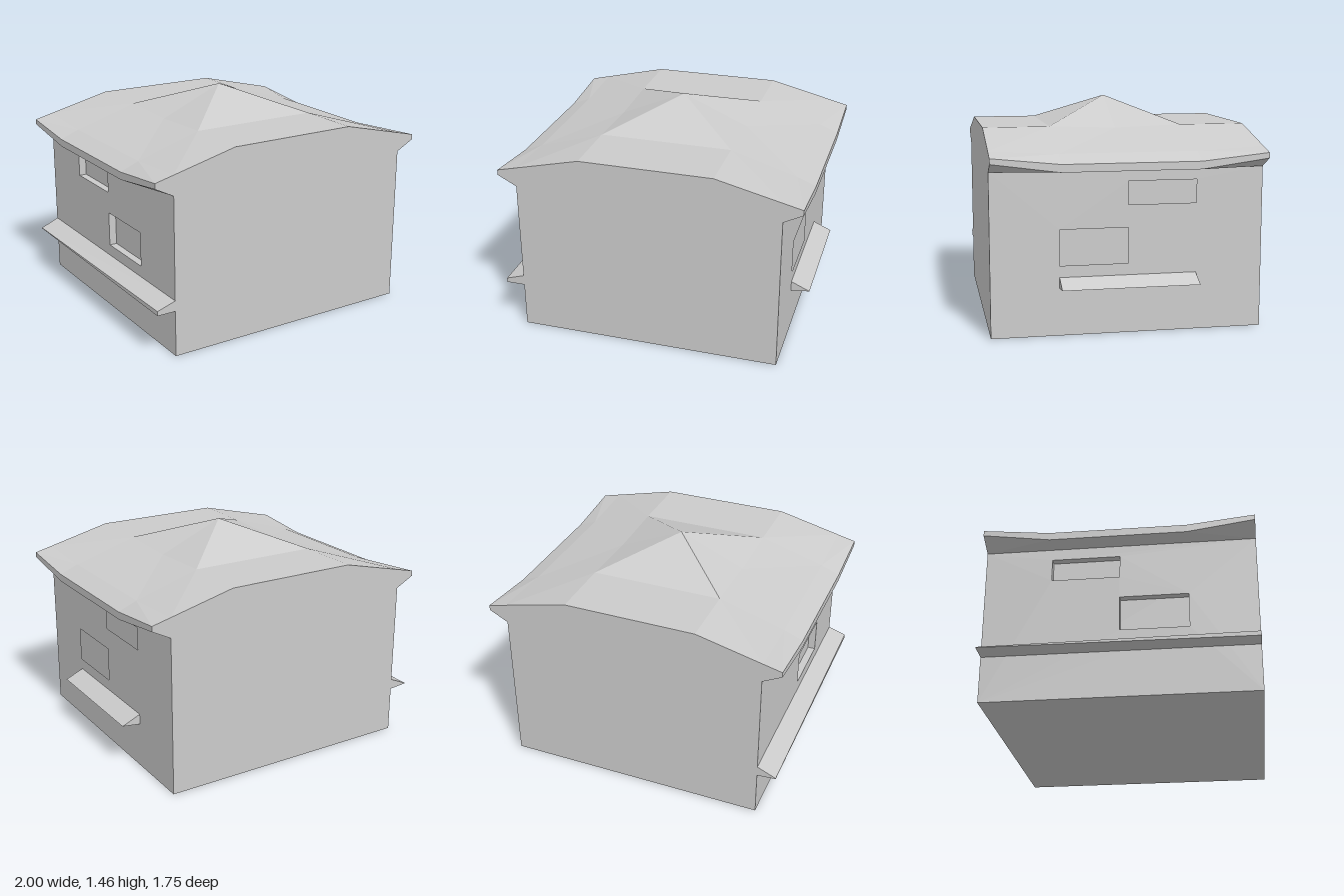
import * as THREE from 'three';

const material = new THREE.MeshStandardMaterial({ color: 0xcccccc, flatShading: true });
const W = 0.875; // half width of the walls
const M = 0.44; // half width of the raised centre
const WALL = 0.05; // depth of the window recesses
const EAVE = 1.05; // height of the wall tops

function addMesh(parent, name, geometry) {
  const mesh = new THREE.Mesh(geometry, material);
  mesh.name = name;
  parent.add(mesh);
  return mesh;
}

// Closed loft through sections { z, pts }, ordered by rising z, points
// counter-clockwise seen from +z. Quads are split along lines from the centre.
function loft(sections) {
  const pos = [];
  const tri = (...corners) => corners.forEach((p) => pos.push(...p));
  const at = (s, j) => {
    const p = s.pts[j % s.pts.length];
    return [p[0], p[1], s.z];
  };
  for (let i = 0; i < sections.length - 1; i++) {
    const s = sections[i], t = sections[i + 1];
    for (let j = 0; j < s.pts.length; j++) {
      const a = at(s, j), b = at(s, j + 1), c = at(t, j + 1), d = at(t, j);
      if ((a[0] + b[0]) * (s.z + t.z) < 0) {
        tri(a, b, c);
        tri(a, c, d);
      } else {
        tri(a, b, d);
        tri(b, c, d);
      }
    }
  }
  const cap = (s, flip) => {
    const outline = s.pts.map((p) => new THREE.Vector2(p[0], p[1]));
    for (const [a, b, c] of THREE.ShapeUtils.triangulateShape(outline, [])) {
      if (flip) tri(at(s, c), at(s, b), at(s, a));
      else tri(at(s, a), at(s, b), at(s, c));
    }
  };
  cap(sections[0], true);
  cap(sections[sections.length - 1], false);
  const geometry = new THREE.BufferGeometry();
  geometry.setAttribute('position', new THREE.Float32BufferAttribute(pos, 3));
  geometry.computeVertexNormals();
  return geometry;
}

// Side wall with two window openings, side = +1 or -1 along x
function sideWall(side) {
  const rect = (Kind, z0, z1, y0, y1) => new Kind(
    [[z0, y0], [z1, y0], [z1, y1], [z0, y1]].map(([z, y]) => new THREE.Vector2(-side * z, y)));
  const shape = rect(THREE.Shape, -W, W, 0, EAVE);
  shape.holes.push(
    rect(THREE.Path, 0, M, 0.45, 0.68),
    rect(THREE.Path, -M, 0, 0.825, 0.975));
  return new THREE.ExtrudeGeometry(shape, { depth: WALL, bevelEnabled: false })
    .rotateY(side * Math.PI / 2)
    .translate(side * (W - WALL), 0, 0);
}

// Roof section: ridge, shoulder, wall-line and eave heights, then eave underside
function roofSection(z, ridge, shoulder, wall, top, under) {
  const right = [[1, top], [W, wall], [M, shoulder]];
  const left = right.map(([x, y]) => [-x, y]).reverse();
  return {
    z,
    pts: [...right, [0, ridge], ...left, [-1, under], [-W, EAVE], [W, EAVE], [1, under]],
  };
}

export function createModel() {
  const model = new THREE.Group();
  model.name = 'house';

  // Walls: a solid core with a pierced layer on each side
  const walls = new THREE.Group();
  walls.name = 'walls';
  model.add(walls);
  addMesh(walls, 'wallCore',
    new THREE.BoxGeometry(2 * (W - WALL), EAVE, 2 * W).translate(0, EAVE / 2, 0));
  addMesh(walls, 'leftWall', sideWall(1));
  addMesh(walls, 'rightWall', sideWall(-1));

  // Roof with upturned eave corners and a shallow central pyramid
  const end = (z) => roofSection(z, 1.285, 1.285, 1.18, 1.15, 1.115);
  const inner = (z) => roofSection(z, 1.285, 1.285, 1.155, 1.105, 1.055);
  const middle = roofSection(0, 1.46, 1.27, 1.155, 1.105, 1.055);
  addMesh(model, 'roof', loft([end(-W), inner(-M), middle, inner(M), end(W)]));

  // Short awning on the left wall
  const shortProfile = [[W, 0.305], [1, 0.32], [W, 0.375]];
  addMesh(model, 'shortAwning', loft([-M, M].map((z) => ({ z, pts: shortProfile }))));

  // Full-length awning on the right wall, thicker at its front end
  const longProfile = (top, bottom) => [[-W, 0.375], [-1, top], [-1, bottom], [-W, 0.305]];
  addMesh(model, 'longAwning', loft([
    { z: -W, pts: longProfile(0.32, 0.315) },
    { z: W, pts: longProfile(0.335, 0.305) },
  ]));

  return model;
}
